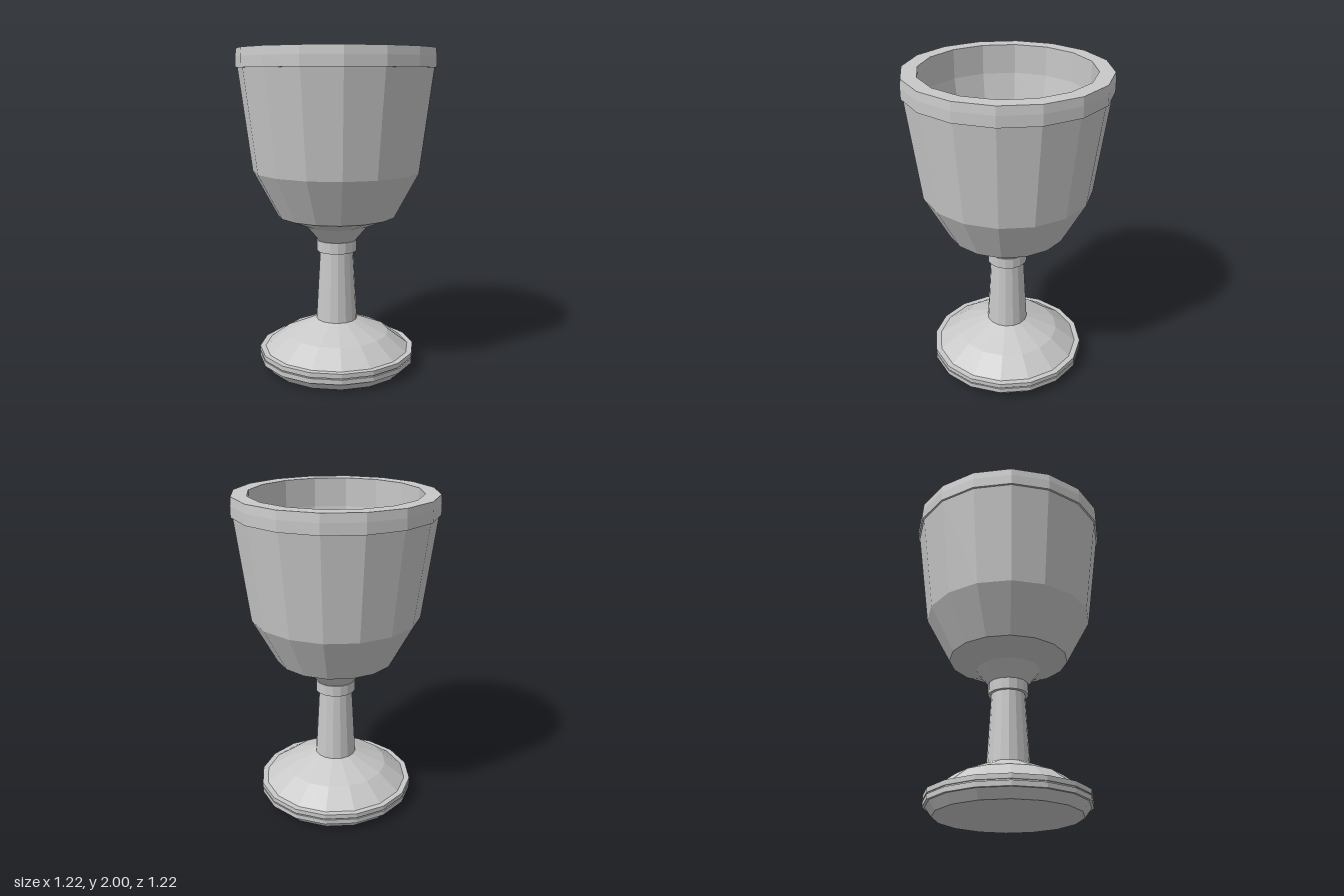
import * as THREE from 'three';

const SIDES = 16;

// Faceted solid of revolution; the profile runs up the outside, then down the inside.
function turned(name, profile, material) {
  const points = profile.map(([r, y]) => new THREE.Vector2(r, y));
  const geometry = new THREE.LatheGeometry(points, SIDES).toNonIndexed();
  geometry.computeVertexNormals();
  const mesh = new THREE.Mesh(geometry, material);
  mesh.name = name;
  return mesh;
}

export function createModel() {
  const metal = new THREE.MeshStandardMaterial({ color: 0xc8c8c8 });
  metal.name = 'grey metal';

  const goblet = new THREE.Group();
  goblet.name = 'goblet';

  // Foot with two thin bands around its edge
  goblet.add(turned('foot', [
    [0, 0], [0.44, 0], [0.48, 0.055], [0.495, 0.055], [0.495, 0.085],
    [0.487, 0.085], [0.487, 0.093], [0.495, 0.093], [0.495, 0.122],
    [0.46, 0.122], [0.33, 0.22], [0.13, 0.305], [0, 0.305],
  ], metal));

  // Tapered stem
  goblet.add(turned('stem', [[0.13, 0.305], [0.105, 0.75]], metal));

  // Collar between the stem and the bowl
  goblet.add(turned('collar', [[0, 0.75], [0.125, 0.75], [0.125, 0.82], [0, 0.82]], metal));

  // Hollow bowl with a raised rim band
  goblet.add(turned('bowl', [
    [0.12, 0.82], [0.2, 0.915], [0.37, 0.98], [0.52, 1.26], [0.6, 1.885],
    [0.612, 1.885], [0.612, 1.95], [0.607, 2],
    [0.515, 2], [0.515, 1.82], [0.42, 1.26], [0.15, 1.0], [0, 1.0],
  ], metal));

  return goblet;
}
